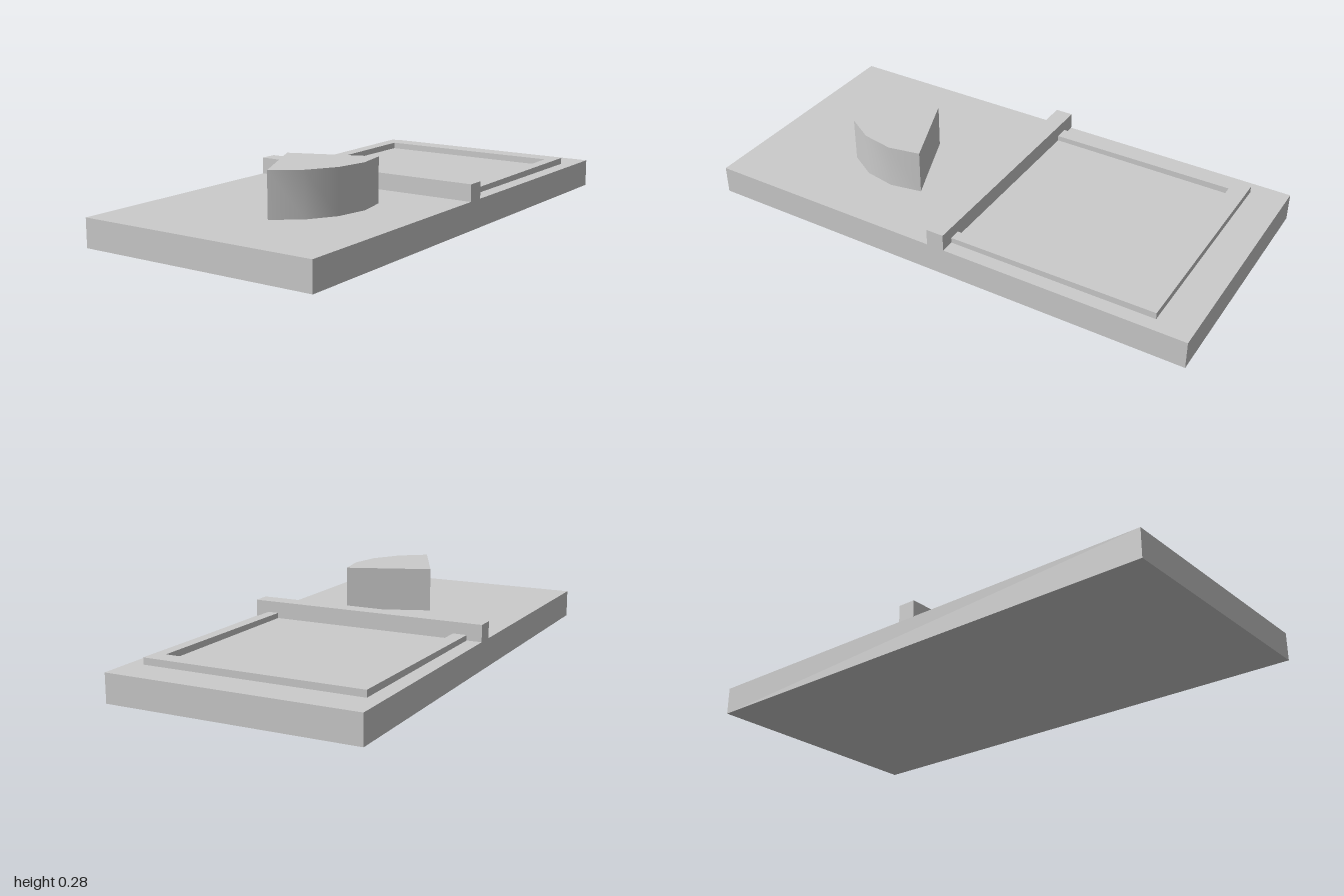
import * as THREE from 'three';
import { toCreasedNormals } from 'three/addons/utils/BufferGeometryUtils.js';

const material = new THREE.MeshStandardMaterial({ color: 0xcccccc });
const BASE_TOP = 0.11;

function add(group, name, geometry) {
  const mesh = new THREE.Mesh(geometry, material);
  mesh.name = name;
  group.add(mesh);
  return mesh;
}

// Extrudes an [x, z] outline upwards from the top of the base.
function prism(outline, height) {
  const shape = new THREE.Shape(outline.map(([x, z]) => new THREE.Vector2(x, -z)));
  return new THREE.ExtrudeGeometry(shape, { depth: height, bevelEnabled: false })
    .rotateX(-Math.PI / 2)
    .translate(0, BASE_TOP, 0);
}

export function createModel() {
  const model = new THREE.Group();
  model.name = 'trapBoard';

  // Flat board
  add(model, 'base', new THREE.BoxGeometry(0.98, BASE_TOP, 2).translate(0, BASE_TOP / 2, 0));

  // Raised bar across the middle
  add(model, 'crossbar', new THREE.BoxGeometry(0.98, 0.066, 0.07).translate(0, BASE_TOP + 0.033, -0.005));

  // Low three-sided frame behind the bar, rising very slightly to the back
  const frame = prism([
    [-0.43, -0.04], [-0.43, -0.86], [0.435, -0.86], [0.435, -0.04],
    [0.39, -0.04], [0.39, -0.79], [-0.375, -0.79], [-0.375, -0.04],
  ], 0.021);
  const p = frame.attributes.position;
  for (let i = 0; i < p.count; i++) {
    if (p.getY(i) > BASE_TOP + 0.01) p.setY(i, 0.131 - 0.006 * (p.getZ(i) + 0.04));
  }
  frame.computeVertexNormals();
  add(model, 'frame', frame);

  // Wedge block with a smoothly shaded round side
  const wedge = [[-0.1, 0.365]];
  const start = THREE.MathUtils.degToRad(-21.3);
  const end = THREE.MathUtils.degToRad(63.4);
  for (let i = 0; i <= 4; i++) {
    const a = start + (end - start) * i / 4;
    wedge.push([-0.1 + 0.346 * Math.cos(a), 0.365 + 0.346 * Math.sin(a)]);
  }
  add(model, 'wedge', toCreasedNormals(prism(wedge, 0.174), Math.PI / 6));

  return model;
}
